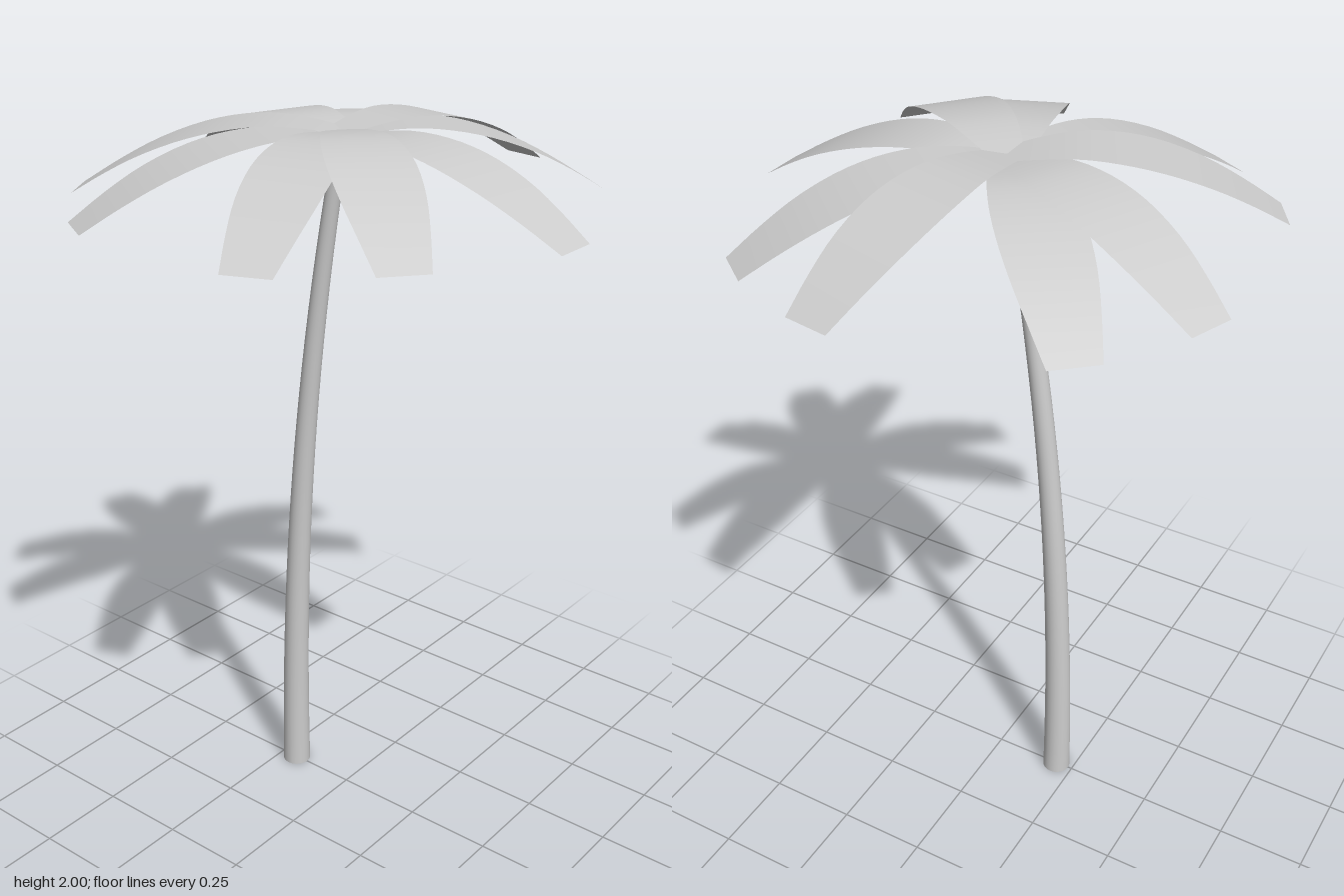
import * as THREE from 'three';

const grey = new THREE.MeshStandardMaterial({ color: 0xcccccc, side: THREE.DoubleSide });
grey.name = 'plain grey';

// Frond spine: distance from the crown, height below the peak, half width
const spine = new THREE.CatmullRomCurve3([
  [0, -0.02, 0.045], [0.09, -0.006, 0.068], [0.18, 0, 0.086], [0.28, -0.01, 0.1],
  [0.38, -0.034, 0.104], [0.49, -0.076, 0.097], [0.59, -0.128, 0.081], [0.685, -0.186, 0.062],
].map(p => new THREE.Vector3(...p)));

// Arched strip, flat across its width
function frondGeometry() {
  const geometry = new THREE.PlaneGeometry(1, 1, 20, 1).rotateX(-Math.PI / 2);
  const pos = geometry.attributes.position;
  for (let i = 0; i < pos.count; i++) {
    const p = spine.getPoint(pos.getX(i) + 0.5);
    pos.setXYZ(i, p.x, p.y, Math.sign(pos.getZ(i)) * p.z);
  }
  geometry.computeVertexNormals();
  return geometry;
}

// Open tapered tube, bent progressively sideways
function trunkGeometry() {
  const height = 1.975;
  const geometry = new THREE.CylinderGeometry(0.02, 0.041, height, 20, 24, true);
  geometry.translate(0, height / 2, 0);
  const pos = geometry.attributes.position;
  for (let i = 0; i < pos.count; i++) {
    const t = Math.max(0, pos.getY(i) / height);
    pos.setX(i, pos.getX(i) - 0.197 + 0.187 * Math.pow(t, 2.2));
  }
  geometry.computeVertexNormals();
  // Match the normals where the tube closes on itself
  const normal = geometry.attributes.normal;
  for (let row = 0; row <= 24; row++) {
    const a = row * 21, b = a + 20;
    const n = new THREE.Vector3().fromBufferAttribute(normal, a)
      .add(new THREE.Vector3().fromBufferAttribute(normal, b)).normalize();
    normal.setXYZ(a, n.x, n.y, n.z);
    normal.setXYZ(b, n.x, n.y, n.z);
  }
  return geometry;
}

export function createModel() {
  const model = new THREE.Group();
  model.name = 'palmTree';

  const trunk = new THREE.Mesh(trunkGeometry(), grey);
  trunk.name = 'trunk';
  model.add(trunk);

  // Three stacked rings of three fronds: peak height and directions in degrees
  const crown = new THREE.Group();
  crown.name = 'crown';
  crown.position.set(-0.01, 0, 0.008);
  const geometry = frondGeometry();
  const rings = [
    { peak: 2.0, angles: [80, -40, -148.6] },
    { peak: 1.992, angles: [51.4, -68.7, 160] },
    { peak: 1.984, angles: [0, -120, 131.6] },
  ];
  for (const { peak, angles } of rings) {
    for (const angle of angles) {
      const frond = new THREE.Mesh(geometry, grey);
      frond.name = 'frond';
      frond.position.y = peak;
      frond.rotation.y = THREE.MathUtils.degToRad(angle);
      crown.add(frond);
    }
  }
  model.add(crown);
  return model;
}
